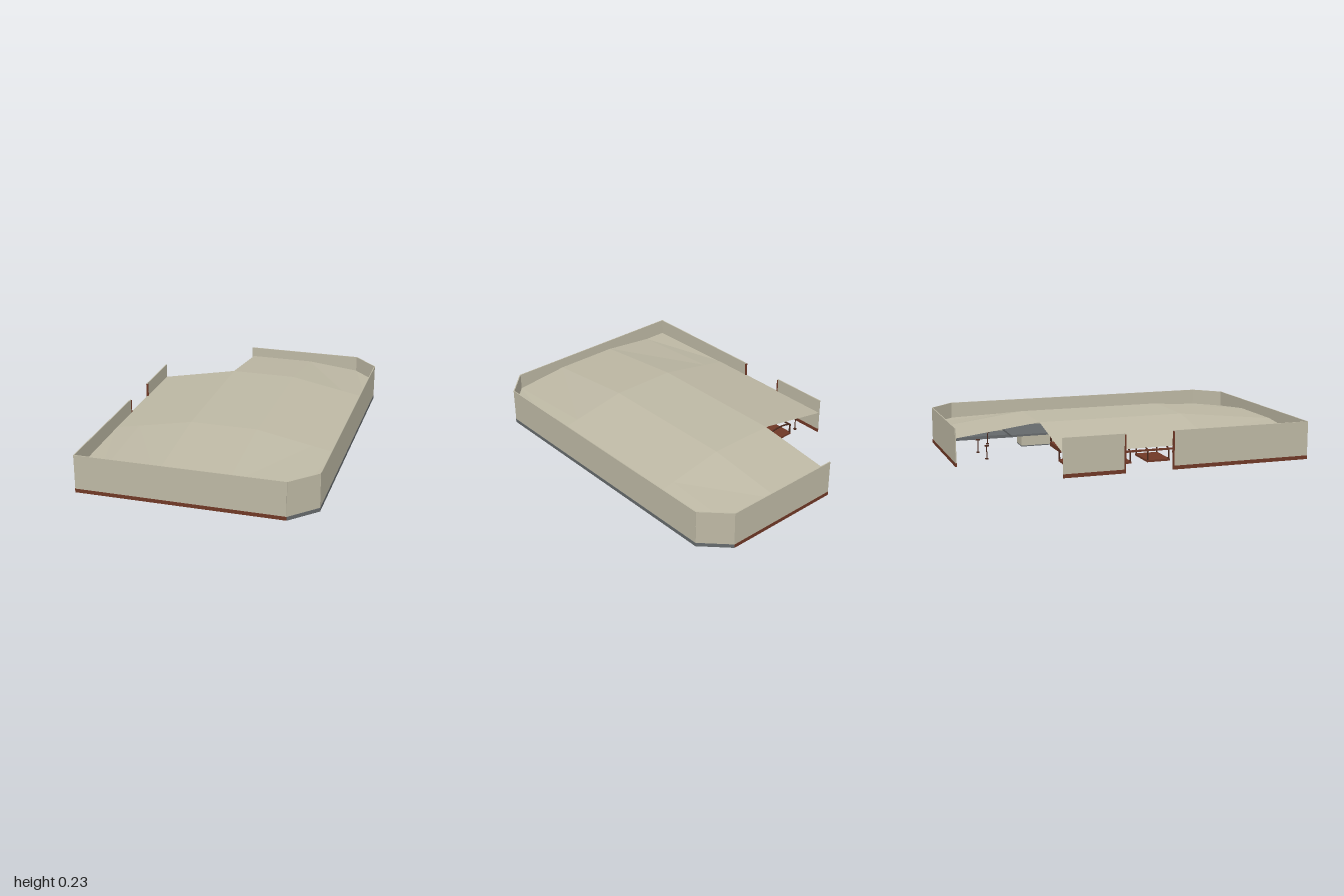
import * as THREE from 'three';

const mat = (name, color, side = THREE.FrontSide) => {
  const m = new THREE.MeshStandardMaterial({ color, side });
  m.name = name;
  return m;
};

export function createModel() {
  const model = new THREE.Group();
  const plaster = mat('plaster', 0xbdb8a4, THREE.DoubleSide);
  const wood = mat('brownWood', 0x6f3826);
  const darkWood = mat('darkWood', 0x4a281c);
  const slate = mat('slate', 0x65696b);
  plaster.flatShading = true;

  const add = (parent, name, geo, material, x = 0, y = 0, z = 0) => {
    const m = new THREE.Mesh(geo, material);
    m.name = name;
    m.position.set(x, y, z);
    parent.add(m);
    return m;
  };
  const box = (parent, name, material, w, h, d, x, y, z) =>
    add(parent, name, new THREE.BoxGeometry(w, h, d), material, x, y, z);
  const group = (name, x = 0, z = 0) => {
    const g = new THREE.Group();
    g.name = name;
    g.position.set(x, 0, z);
    model.add(g);
    return g;
  };

  // Straight wall between two plan points, with a coloured skirting below
  const T = 0.006, H = 0.225, S = 0.022;
  const walls = group('walls');
  const wall = (name, x0, z0, x1, z1, skirting) => {
    const len = Math.hypot(x1 - x0, z1 - z0);
    const g = new THREE.Group();
    g.name = name;
    g.position.set((x0 + x1) / 2, 0, (z0 + z1) / 2);
    g.rotation.y = -Math.atan2(z1 - z0, x1 - x0);
    box(g, 'wallPanel', plaster, len, H - S, T, 0, (H + S) / 2, 0);
    box(g, 'skirting', skirting, len, S, T * 1.4, 0, S / 2, 0);
    walls.add(g);
  };
  const X = 0.672, Z = 0.997, CX = 0.527, CZ = 0.85;
  wall('frontWall', -X, Z, CX, Z, wood);
  wall('frontCornerWall', CX, Z, X, CZ, slate);
  wall('sideWall', X, CZ, X, -CZ, slate);
  wall('backCornerWall', X, -CZ, CX, -Z, slate);
  wall('backWall', CX, -Z, -0.21, -Z, wood);
  wall('entranceWallBack', -X, -0.5, -X, -0.14, wood);
  wall('entranceWallFront', -X, 0.15, -X, Z, wood);

  // Door frame in the entrance gap
  const door = group('doorFrame', -X);
  for (const z of [-0.14, 0.15]) box(door, 'doorPost', wood, 0.012, 0.22, 0.008, 0, 0.11, z);
  box(door, 'doorLintel', wood, 0.012, 0.01, 0.29, 0, 0.122, 0.005);

  // Faceted tent ceiling: a flat plateau falling away to the eaves
  const xs = [-0.675, -0.525, -0.2, 0.2, 0.527, 0.675];
  const zs = [-1, -0.5, 0.39, 1];
  const roofPoint = (i, j) => {
    const x = xs[i];
    const z = i === 5 ? THREE.MathUtils.clamp(zs[j], -CZ, CZ) : zs[j];
    const fall = 0.19 * Math.max(0, Math.abs(x) - 0.2) + (j === 0 || j === 3 ? 0.065 : 0);
    return [x, Math.max(0.128, 0.228 - fall), z];
  };
  const tri = [];
  for (let i = 0; i < 5; i++) {
    for (let j = 0; j < 3; j++) {
      if (j === 0 && i < 2) continue; // notch in the plan
      const a = roofPoint(i, j), b = roofPoint(i, j + 1);
      const c = roofPoint(i + 1, j + 1), d = roofPoint(i + 1, j);
      const slopeA = (i < 2) === (j === 0);
      if (slopeA) tri.push(...a, ...b, ...d, ...b, ...c, ...d);
      else tri.push(...a, ...b, ...c, ...a, ...c, ...d);
    }
  }
  // Hip folds run between the two mid-height corners of each corner cell
  const roofGeo = new THREE.BufferGeometry();
  roofGeo.setAttribute('position', new THREE.Float32BufferAttribute(tri, 3));
  roofGeo.computeVertexNormals();
  add(model, 'tentRoof', roofGeo, plaster);

  // Low slate platform along the side wall
  box(model, 'sidePlatform', slate, 0.145, 0.02, 1.7, 0.598, 0.011, 0);

  // Bar counter: pale base under an overhanging slate top
  const bar = group('barCounter', 0.28, 0.0);
  box(bar, 'barPlinth', slate, 0.115, 0.006, 1.06, 0, 0.003, 0.03);
  box(bar, 'barBase', plaster, 0.115, 0.08, 1.06, 0, 0.046, 0.03);
  box(bar, 'barTop', slate, 0.32, 0.012, 1.18, 0, 0.092, 0);

  // Rectangular rail of four bars
  const rail = (parent, name, material, w, d, t, y) => {
    for (const s of [-1, 1]) {
      box(parent, name, material, w, t, t, 0, y, s * (d - t) / 2);
      box(parent, name, material, t, t, d, s * (w - t) / 2, y, 0);
    }
  };

  // Booths along the entrance wall: wooden seat, posts and arched rails
  for (let k = 0; k < 6; k++) {
    const booth = group('booth', -0.41, 0.835 - k * 0.237);
    box(booth, 'boothSeat', wood, 0.2, 0.012, 0.14, 0, 0.02, 0);
    for (const sz of [-1, 1]) {
      for (const sx of [-1, 1])
        box(booth, 'boothPost', darkWood, 0.008, 0.07, 0.008, sx * 0.094, 0.05, sz * 0.065);
      const arch = new THREE.QuadraticBezierCurve3(
        new THREE.Vector3(-0.094, 0.084, sz * 0.065),
        new THREE.Vector3(0, 0.12, sz * 0.065),
        new THREE.Vector3(0.094, 0.084, sz * 0.065));
      add(booth, 'boothArch', new THREE.TubeGeometry(arch, 8, 0.005, 6), darkWood);
    }
    for (const sx of [-1, 1])
      box(booth, 'boothCrossRail', darkWood, 0.008, 0.008, 0.13, sx * 0.094, 0.082, 0);
  }

  // Two square seating islands with a table in the middle
  for (const z of [-0.2, 0.23]) {
    const island = group('seatingIsland', 0, z);
    rail(island, 'islandBench', wood, 0.21, 0.3, 0.025, 0.03);
    rail(island, 'islandBackRail', darkWood, 0.21, 0.3, 0.008, 0.075);
    for (const sx of [-1, 1]) for (const sz of [-1, 1])
      box(island, 'islandPost', darkWood, 0.008, 0.06, 0.008, sx * 0.1, 0.045, sz * 0.145);
    box(island, 'islandTable', slate, 0.1, 0.008, 0.16, 0, 0.06, 0);
  }

  // Slim standing tables with a round top and foot
  const spots = [[0, 0.645], [0.25, 0.8], [0.4, 0.85], [-0.58, -0.39],
    [0.34, -0.69], [0.11, -0.8], [-0.085, -0.79]];
  for (const [x, z] of spots) {
    const stand = group('standingTable', x, z);
    add(stand, 'standPole', new THREE.CylinderGeometry(0.003, 0.003, 0.075, 8), darkWood, 0, 0.045, 0);
    add(stand, 'standTop', new THREE.CylinderGeometry(0.014, 0.014, 0.006, 12), darkWood, 0, 0.085, 0);
    add(stand, 'standFoot', new THREE.CylinderGeometry(0.01, 0.01, 0.005, 12), darkWood, 0, 0.008, 0);
  }
  return model;
}
